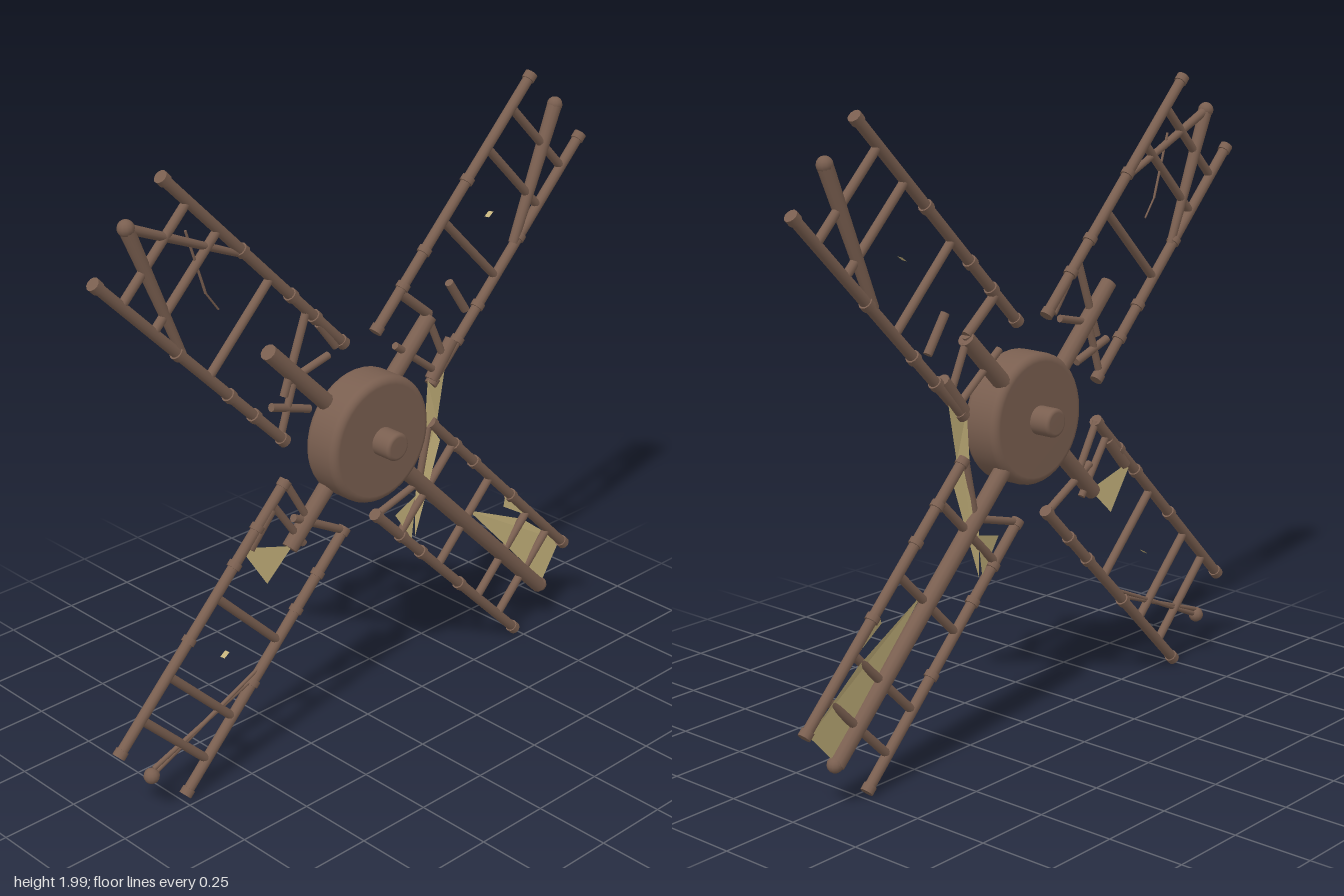
import * as THREE from 'three';

export function createModel() {
  const model = new THREE.Group();
  model.name = 'brokenMillRotor';
  const wood = new THREE.MeshStandardMaterial({ color: 0x7a5f50 });
  wood.name = 'weathered wood';
  const canvas = new THREE.MeshStandardMaterial({ color: 0xc6b37c, side: THREE.DoubleSide });
  canvas.name = 'torn canvas';
  const Z = -0.035; // plane of the sails

  const add = (parent, name, geometry, material = wood) => {
    const mesh = new THREE.Mesh(geometry, material);
    mesh.name = name;
    parent.add(mesh);
    return mesh;
  };
  // Round timber between two points, radius r0 at the start and r1 at the end
  const beam = (parent, name, a, b, r0, r1 = r0) => {
    const p = new THREE.Vector3(a[0], a[1], a[2] ?? Z);
    const q = new THREE.Vector3(b[0], b[1], b[2] ?? Z);
    const d = q.clone().sub(p);
    const mesh = add(parent, name, new THREE.CylinderGeometry(r1, r0, d.length(), 12));
    mesh.position.copy(p).add(q).multiplyScalar(0.5);
    mesh.quaternion.setFromUnitVectors(new THREE.Vector3(0, 1, 0), d.normalize());
    return mesh;
  };
  // Flat scrap of cloth
  const cloth = (name, points) => {
    const g = new THREE.BufferGeometry();
    const pos = [];
    for (let i = 1; i < points.length - 1; i++) {
      for (const p of [points[0], points[i], points[i + 1]]) pos.push(p[0], p[1], p[2] ?? Z);
    }
    g.setAttribute('position', new THREE.Float32BufferAttribute(pos, 3));
    g.computeVertexNormals();
    add(model, name, g, canvas);
  };

  // Hub with rounded rims, and the axle through it
  const turned = (name, radius, half, bevel) => {
    const pts = [new THREE.Vector2(0, -half)];
    for (const s of [-1, 1]) {
      for (let i = 0; i <= 5; i++) {
        const a = (s < 0 ? -Math.PI / 2 : 0) + (i / 5) * Math.PI / 2;
        pts.push(new THREE.Vector2(radius - bevel + bevel * Math.cos(a), s * (half - bevel) + bevel * Math.sin(a)));
      }
    }
    pts.push(new THREE.Vector2(0, half));
    const mesh = add(model, name, new THREE.LatheGeometry(pts, 40));
    mesh.rotation.x = Math.PI / 2;
    mesh.position.y = 1;
  };
  turned('hub', 0.205, 0.066, 0.025);
  turned('axle', 0.045, 0.135, 0.012);

  // Four ladder frames; x runs outward along the arm, y across it
  const arms = [
    { name: 'upperLeftArm', angle: 45, spine: 0.42 },
    { name: 'upperRightArm', angle: 135, spine: 0.52 },
    { name: 'lowerRightArm', angle: 225, spine: 0.42 },
    { name: 'lowerLeftArm', angle: 315, spine: 1.215 },
  ];
  for (const { name, angle, spine } of arms) {
    const arm = new THREE.Group();
    arm.name = name;
    arm.position.y = 1;
    arm.rotation.z = THREE.MathUtils.degToRad(angle);
    model.add(arm);
    beam(arm, 'spine', [0.12, 0], [spine, 0], 0.028, 0.026);
    for (const side of [-1, 1]) {
      const v = side * 0.172;
      beam(arm, 'rail', [0.27, v], [1.21, v], 0.017);
      for (const u of [0.275, 1.205]) beam(arm, 'railEnd', [u - 0.012, v], [u + 0.012, v], 0.021);
      for (const u of [0.43, 0.56, 0.82]) beam(arm, 'railBinding', [u - 0.01, v], [u + 0.01, v], 0.022);
    }
    for (const u of [0.67, 0.94, 1.09]) beam(arm, 'rung', [u, -0.172], [u, 0.172], 0.014);
  }

  // Splintered timbers and inner braces: start, end, start radius, end radius
  const splinters = [
    // upper left arm
    [[0.853, 1.861], [0.676, 1.444], 0.024, 0.016],
    [[0.965, 1.73], [0.68, 1.43], 0.004],
    [[0.165, 1.41], [0.295, 1.305], 0.016],
    [[0.385, 1.385], [0.46, 1.275], 0.014],
    [[0.15, 1.24], [0.335, 1.1], 0.012],
    [[0.3, 1.28], [0.37, 1.13], 0.012],
    [[0.295, 1.305], [0.235, 1.225], 0.014],
    [[0.31, 1.08], [0.4, 1.19], 0.022],
    // upper right arm
    [[-0.863, 1.866], [-0.685, 1.45], 0.022, 0.013],
    [[-0.863, 1.866], [-0.457, 1.69], 0.015, 0.01],
    [[-0.66, 1.81], [-0.595, 1.61], 0.004],
    [[-0.595, 1.61], [-0.55, 1.55], 0.003],
    [[-0.215, 1.46], [-0.31, 1.21], 0.013],
    [[-0.3, 1.25], [-0.13, 1.29], 0.012],
    [[-0.36, 1.19], [-0.21, 1.14], 0.013],
    [[-0.27, 1.25], [-0.32, 1.1], 0.012],
    [[-0.17, 1.4], [-0.1, 1.31], 0.012],
    // lower right arm
    [[-0.863, 0.144], [-0.43, 0.34], 0.009, 0.006],
    [[-0.855, 0.165], [-0.42, 0.325], 0.008, 0.006],
    [[-0.36, 0.87], [-0.24, 0.7], 0.012],
    [[-0.31, 0.93], [-0.21, 0.76], 0.012],
    [[-0.28, 0.8], [-0.08, 0.69], 0.013],
    [[-0.37, 0.86], [-0.46, 0.76], 0.019],
    // lower left arm
    [[0.175, 0.585], [0.415, 0.825], 0.014],
    [[0.3, 0.92], [0.26, 0.74], 0.012],
    [[0.08, 0.69], [0.26, 0.74], 0.012],
  ];
  for (const [a, b, r0, r1] of splinters) beam(model, 'splinter', a, b, r0, r1);
  for (const [x, y] of [[0.853, 1.861], [-0.863, 1.866], [-0.863, 0.144], [0.863, 0.144]]) {
    add(model, 'spineTip', new THREE.SphereGeometry(0.025, 12, 8)).position.set(x, y, Z);
  }

  // Remaining cloth
  cloth('sail', [[0.49, 0.56, -0.03], [0.87, 0.16, -0.03], [0.976, 0.267, -0.05], [0.78, 0.42, -0.05]]);
  cloth('sailScrap', [[0.66, 0.515, -0.03], [0.69, 0.57, -0.045], [0.83, 0.41, -0.04]]);
  cloth('upperStrip', [[0.29, 1.08, -0.03], [0.385, 1.14, -0.04], [0.335, 0.93, -0.03], [0.28, 0.79, -0.04]]);
  cloth('middleStrip', [[0.32, 0.91, -0.04], [0.35, 0.86, -0.03], [0.24, 0.55, -0.03], [0.25, 0.7, -0.04]]);
  cloth('lowerScrap', [[0.15, 0.66, -0.03], [0.26, 0.69, -0.045], [0.225, 0.55, -0.03]]);
  cloth('hangingScrap', [[-0.49, 0.77, -0.04], [-0.29, 0.71, -0.03], [-0.39, 0.615, -0.035]]);

  // Tiny loose shreds seen almost edge-on
  for (const [x, y] of [[0.56, 1.567], [-0.565, 0.44]]) {
    cloth('shred', [[x - 0.01, y - 0.008, -0.045], [x + 0.01, y + 0.006, -0.045], [x + 0.01, y + 0.008, -0.025], [x - 0.01, y - 0.006, -0.025]]);
  }
  return model;
}
